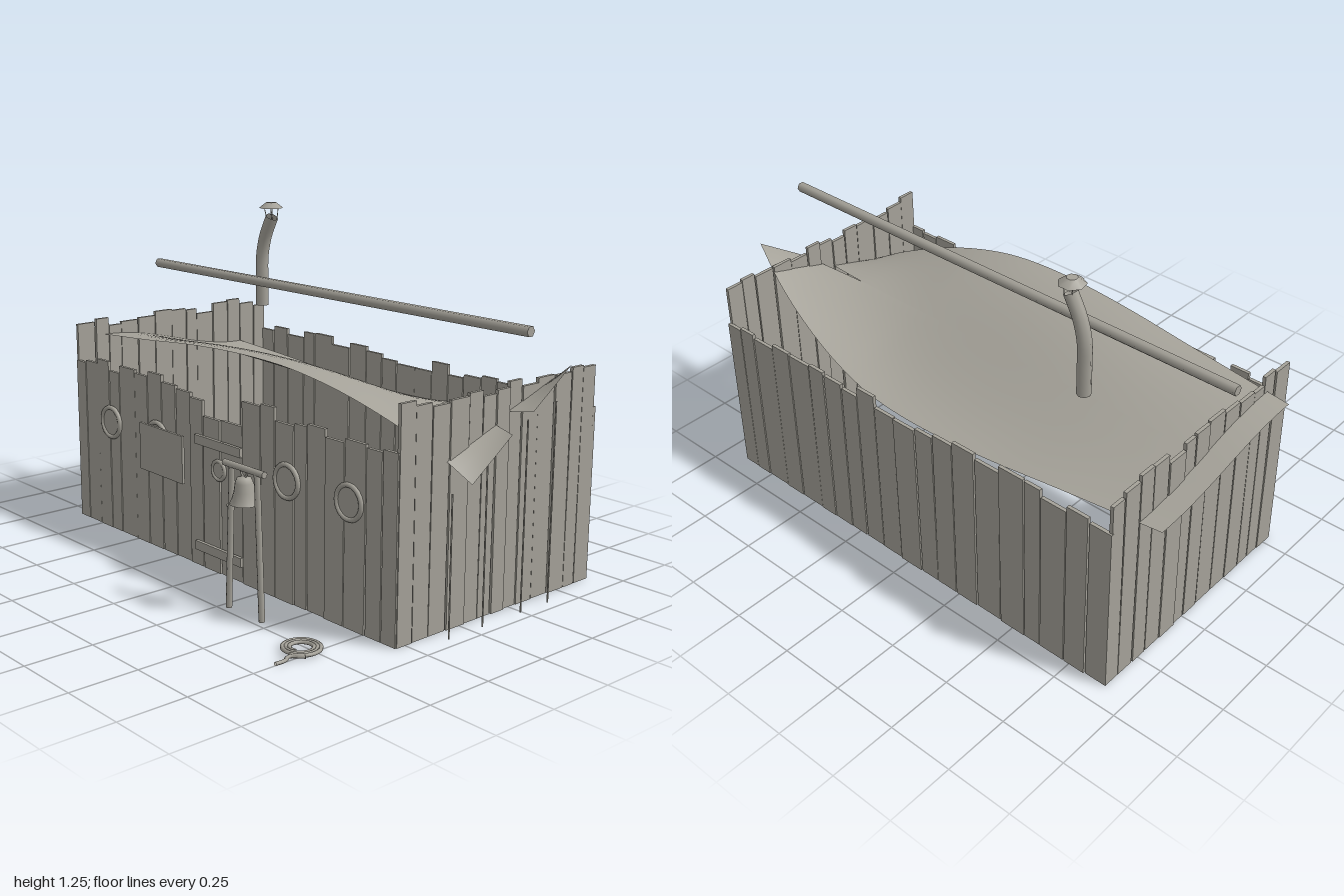
import * as THREE from 'three';

const V = (x, y, z) => new THREE.Vector3(x, y, z);

export function createModel() {
  const root = new THREE.Group();
  const grey = new THREE.MeshStandardMaterial({ color: 0xa5a299 });
  grey.name = 'weathered grey';
  grey.side = THREE.DoubleSide;

  let seed = 11;
  const rand = () => (seed = (seed * 16807) % 2147483647) / 2147483647;

  const add = (name, geo, x = 0, y = 0, z = 0, parent = root) => {
    const m = new THREE.Mesh(geo, grey);
    m.name = name;
    m.position.set(x, y, z);
    parent.add(m);
    return m;
  };
  const box = (name, w, h, d, x, y, z, parent) => add(name, new THREE.BoxGeometry(w, h, d), x, y, z, parent);
  // straight round bar between two points
  const bar = (name, a, b, r, sides = 8, parent = root) => {
    const d = b.clone().sub(a);
    const m = add(name, new THREE.CylinderGeometry(r, r, d.length(), sides).toNonIndexed(), 0, 0, 0, parent);
    m.position.copy(a).add(b).multiplyScalar(0.5);
    m.quaternion.setFromUnitVectors(V(0, 1, 0), d.normalize());
    return m;
  };

  // Plank walls: uneven boards along one axis, each a touch crooked
  const wall = (name, from, to, heights, place, yaw) => {
    const g = new THREE.Group();
    g.name = name;
    const widths = heights.map(() => 0.75 + rand() * 0.5);
    const k = (to - from) / widths.reduce((a, b) => a + b, 0);
    let s = from;
    heights.forEach((h, i) => {
      const w = widths[i] * k;
      const p = box('plank', w - 0.004, h, 0.013, 0, h / 2, 0, g);
      const [x, z] = place(s + w / 2, (rand() - 0.5) * 0.006);
      p.position.set(x, h / 2 + 0.003, z);
      p.rotation.set(0, yaw, (rand() - 0.5) * 0.007);
      s += w;
    });
    root.add(g);
  };
  const random = (n, lo, hi) => Array.from({ length: n }, () => lo + rand() * (hi - lo));
  const front = (s, o) => [s, 0.287 + o];
  wall('frontWallLeftOfDoor', -0.905, -0.085,
    [0.64, 0.65, 0.67, 0.635, 0.665, 0.655, 0.675, 0.65, 0.64, 0.625], front, 0);
  wall('door', -0.082, 0.136, [0.57, 0.572], front, 0);
  wall('frontWallRightOfDoor', 0.139, 0.9,
    [0.665, 0.675, 0.63, 0.64, 0.65, 0.625, 0.64, 0.63, 0.64], front, 0);
  wall('backWall', -0.905, 0.9, random(20, 0.625, 0.68), (s, o) => [s, -0.667 + o], 0);
  for (const [name, x] of [['leftWall', 0.892], ['rightWall', -0.897]]) {
    wall(name, -0.665, 0.29, random(13, 0.755, 0.8), (s, o) => [x + o, s], Math.PI / 2);
  }

  // Roof: twisted hull, its two halves turned half a circle about the centre line
  const edge = [[-0.99, 0.05, 0.345], [-0.6, 0.082, 0.365], [-0.25, 0.115, 0.38], [0.05, 0.127, 0.387],
    [0.28, 0.115, 0.378], [0.5, 0.07, 0.35], [0.7, 0, 0.312], [0.86, -0.075, 0.272], [0.985, -0.16, 0.235]];
  const path = new THREE.CatmullRomCurve3(edge.map(([x, y, z]) => V(x, y, z)));
  const hullHalf = (side) => {
    const g = new THREE.PlaneGeometry(1, 1, 40, 10);
    const p = g.attributes.position;
    for (let i = 0; i < p.count; i++) {
      const e = path.getPoint(p.getX(i) + 0.5);
      const v = p.getY(i) + 0.5;
      const notch = Math.pow(Math.max(0, (e.x - 0.68) / 0.305), 1.5);
      const z = e.z * v + 0.05 * notch * (1 - v);
      const straight = Math.max(0, Math.min(1, (e.x - 0.4) / 0.4));
      const dome = THREE.MathUtils.lerp(Math.sin(v * Math.PI / 2), v, straight);
      const y = e.y * dome - 0.03 * notch * (1 - v);
      p.setXYZ(i, e.x, 0.675 + side * y, -0.185 + side * z);
    }
    // keep the upper face as the front face on both halves
    if (side > 0) {
      const a = g.index.array;
      for (let i = 0; i < a.length; i += 3) [a[i], a[i + 1]] = [a[i + 1], a[i]];
    }
    g.computeVertexNormals();
    return g;
  };
  add('roofFrontHalf', hullHalf(1));
  add('roofBackHalf', hullHalf(-1));

  // Ridge pole above the roof
  bar('ridgePole', V(-1, 0.977, -0.187), V(1, 0.977, -0.187), 0.019, 6);

  // Stove pipe with cap
  const pipe = new THREE.CatmullRomCurve3([V(-0.537, 0.84, -0.362), V(-0.537, 0.95, -0.362),
    V(-0.535, 1.04, -0.362), V(-0.515, 1.12, -0.362), V(-0.475, 1.2, -0.362)]);
  add('stovePipe', new THREE.TubeGeometry(pipe, 16, 0.025, 8));
  for (let i = 0; i < 4; i++) {
    const a = Math.PI / 4 + i * Math.PI / 2;
    const c = Math.cos(a), s = Math.sin(a);
    bar('capStrut', V(-0.475 + c * 0.02, 1.19, -0.362 + s * 0.02),
      V(-0.48 + c * 0.028, 1.24, -0.362 + s * 0.028), 0.002, 4);
  }
  add('pipeCap', new THREE.CylinderGeometry(0.02, 0.048, 0.022, 7), -0.48, 1.246, -0.362);

  // Portholes along the front wall
  const porthole = (name, x, y, r, t, z = 0.299) => {
    add(name + 'Ring', new THREE.TorusGeometry(r, t, 8, 24), x, y, z);
    add(name + 'Pane', new THREE.CylinderGeometry(r, r, 0.006, 24).rotateX(Math.PI / 2), x, y, z - 0.001);
  };
  for (const x of [-0.66, -0.36, 0.38, 0.685]) porthole('porthole', x, 0.437, 0.058, 0.009);
  porthole('doorPorthole', 0.012, 0.392, 0.034, 0.007);

  // Door fittings
  for (const y of [0.484, 0.083]) box('doorBatten', 0.262, 0.034, 0.012, 0.012, y, 0.302);
  add('doorKnob', new THREE.SphereGeometry(0.009, 8, 6), 0.093, 0.287, 0.318);
  bar('knobStem', V(0.093, 0.287, 0.29), V(0.093, 0.287, 0.318), 0.004, 6);

  // Blank sign board
  const sign = box('signBoard', 0.272, 0.18, 0.01, -0.302, 0.395, 0.319);
  sign.rotation.y = -0.02;

  // Bell on its stand
  const stand = new THREE.Group();
  stand.name = 'bellStand';
  root.add(stand);
  bar('crossbar', V(0.267, 0.513, 0.473), V(0.474, 0.513, 0.473), 0.012, 8, stand);
  bar('leftLeg', V(0.458, 0.005, 0.473), V(0.436, 0.51, 0.473), 0.011, 8, stand);
  bar('rightLeg', V(0.284, 0.005, 0.473), V(0.306, 0.51, 0.473), 0.011, 8, stand);
  const bell = [[0.05, 0.393], [0.043, 0.408], [0.035, 0.435], [0.031, 0.465], [0.024, 0.482], [0, 0.488]];
  add('bell', new THREE.LatheGeometry(bell.map(([r, y]) => new THREE.Vector2(r, y)), 16), 0.37, 0, 0.473, stand);
  add('bellLoop', new THREE.TorusGeometry(0.015, 0.004, 6, 12), 0.37, 0.5, 0.473, stand);
  add('bellClapper', new THREE.SphereGeometry(0.01, 8, 6), 0.37, 0.4, 0.473, stand);

  // Coiled rope with a loose tail
  const coil = [];
  for (let i = 0; i <= 48; i++) {
    const a = Math.PI / 2 - 0.3 + (i / 48) * Math.PI * 6;
    const r = 0.035 + 0.033 * i / 48;
    coil.push(V(0.712 + Math.cos(a) * r, 0.014, 0.525 + Math.sin(a) * r));
  }
  add('ropeCoil', new THREE.TubeGeometry(new THREE.CatmullRomCurve3(coil), 110, 0.0075, 6));
  const tail = [V(0.775, 0.012, 0.56), V(0.738, 0.011, 0.598), V(0.752, 0.01, 0.625), V(0.752, 0.01, 0.665)];
  add('ropeTail', new THREE.TubeGeometry(new THREE.CatmullRomCurve3(tail), 12, 0.007, 6));

  // Thin lines hanging beside the left wall
  for (const [z, top] of [[0.12, 0.5], [-0.04, 0.57], [-0.23, 0.68], [-0.37, 0.72]]) {
    bar('hangingLine', V(0.967, 0.01, z), V(0.977, top, z + 0.012), 0.003, 5);
  }
  return root;
}
